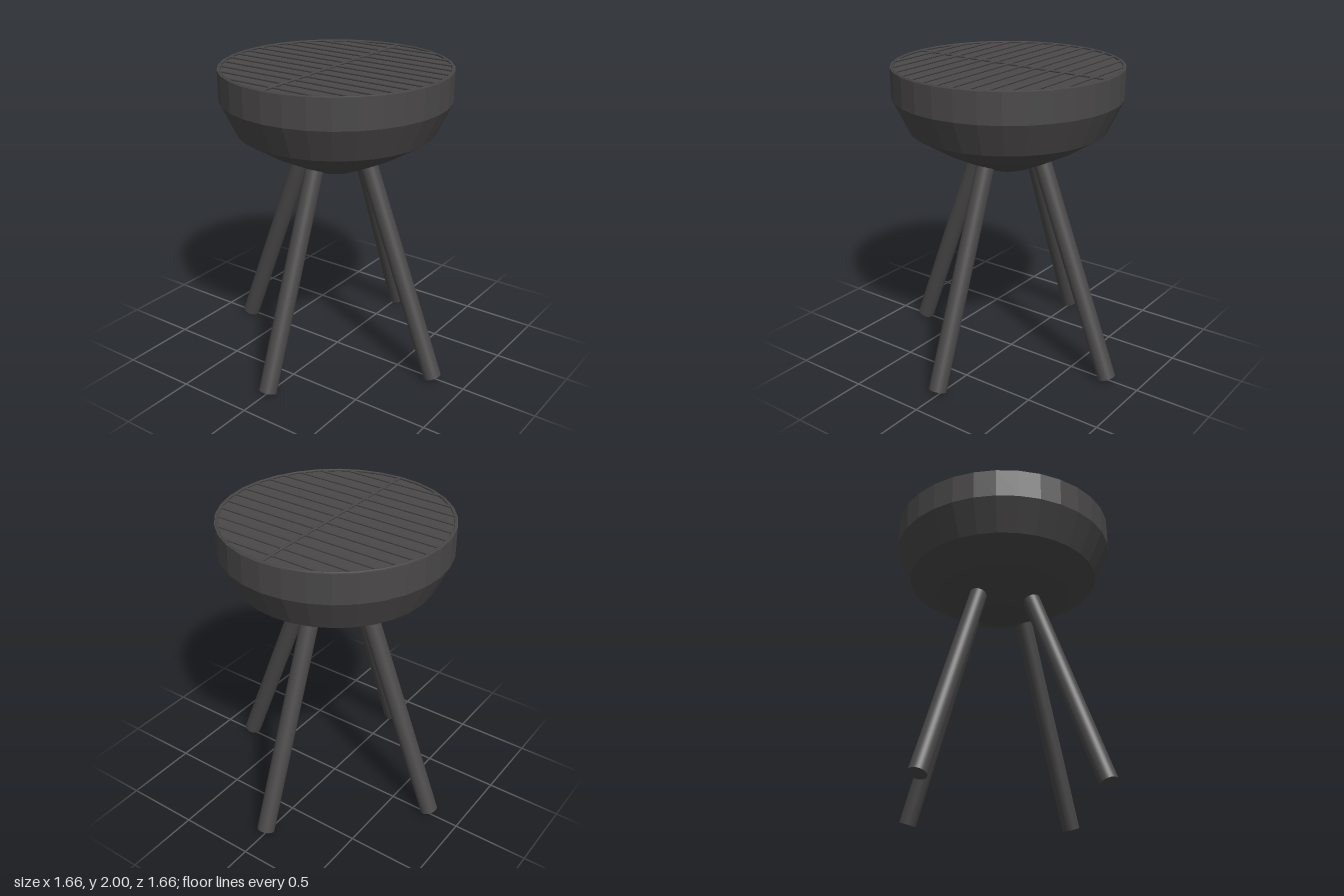
import * as THREE from 'three';

const CX = -0.02, CZ = 0.005; // bowl axis

export function createModel() {
  const model = new THREE.Group();
  const smooth = new THREE.MeshStandardMaterial({ color: 0x4a4848 });
  const faceted = new THREE.MeshStandardMaterial({ color: 0x4a4848, flatShading: true });

  const add = (name, geometry, material, parent = model) => {
    const mesh = new THREE.Mesh(geometry, material);
    mesh.name = name;
    parent.add(mesh);
    return mesh;
  };

  // Round bar between two points
  const rod = (name, a, b, radius, sides, parent) => {
    const dir = b.clone().sub(a);
    const mesh = add(name, new THREE.CylinderGeometry(radius, radius, dir.length(), sides), smooth, parent);
    mesh.position.copy(a).add(b).multiplyScalar(0.5);
    mesh.quaternion.setFromUnitVectors(new THREE.Vector3(0, 1, 0), dir.normalize());
    return mesh;
  };

  // Bowl with a low lip and a closed top just below it
  const profile = [
    [0, 1.335], [0.16, 1.335], [0.3, 1.4], [0.45, 1.475], [0.635, 1.59],
    [0.735, 1.8], [0.735, 1.993], [0.718, 1.993], [0.718, 1.984], [0, 1.984],
  ].map(([r, y]) => new THREE.Vector2(r, y));
  const bowl = add('bowl', new THREE.LatheGeometry(profile, 32), faceted);
  bowl.position.set(CX, 0, CZ);

  // Grate: outer ring, parallel bars and one cross bar
  const grate = new THREE.Group();
  grate.name = 'grate';
  grate.position.set(CX, 1.991, CZ);
  model.add(grate);
  const barRadius = 0.008, ringRadius = 0.72;
  add('grateRing', new THREE.TorusGeometry(ringRadius, barRadius, 6, 32).rotateX(Math.PI / 2), smooth, grate);
  for (let i = -6; i <= 6; i++) {
    const x = i * 0.104;
    const half = Math.sqrt(ringRadius ** 2 - x ** 2);
    rod('grateBar', new THREE.Vector3(x, 0, -half), new THREE.Vector3(x, 0, half), barRadius, 8, grate);
  }
  rod('crossBar', new THREE.Vector3(-ringRadius, 0, 0), new THREE.Vector3(ringRadius, 0, 0), barRadius, 8, grate);

  // Four splayed legs, their upper ends sunk into the bowl
  ['leftLeg', 'backLeg', 'rightLeg', 'frontLeg'].forEach((name, i) => {
    const angle = i * Math.PI / 2;
    const point = (r, y) => new THREE.Vector3(
      r * Math.cos(angle) + (i % 2 ? -0.015 : 0), y,
      -r * Math.sin(angle) + (i % 2 ? 0 : 0.008));
    rod(name, point(0.778, 0.021), point(0.235, 1.435), 0.058, 32, model);
  });

  return model;
}
